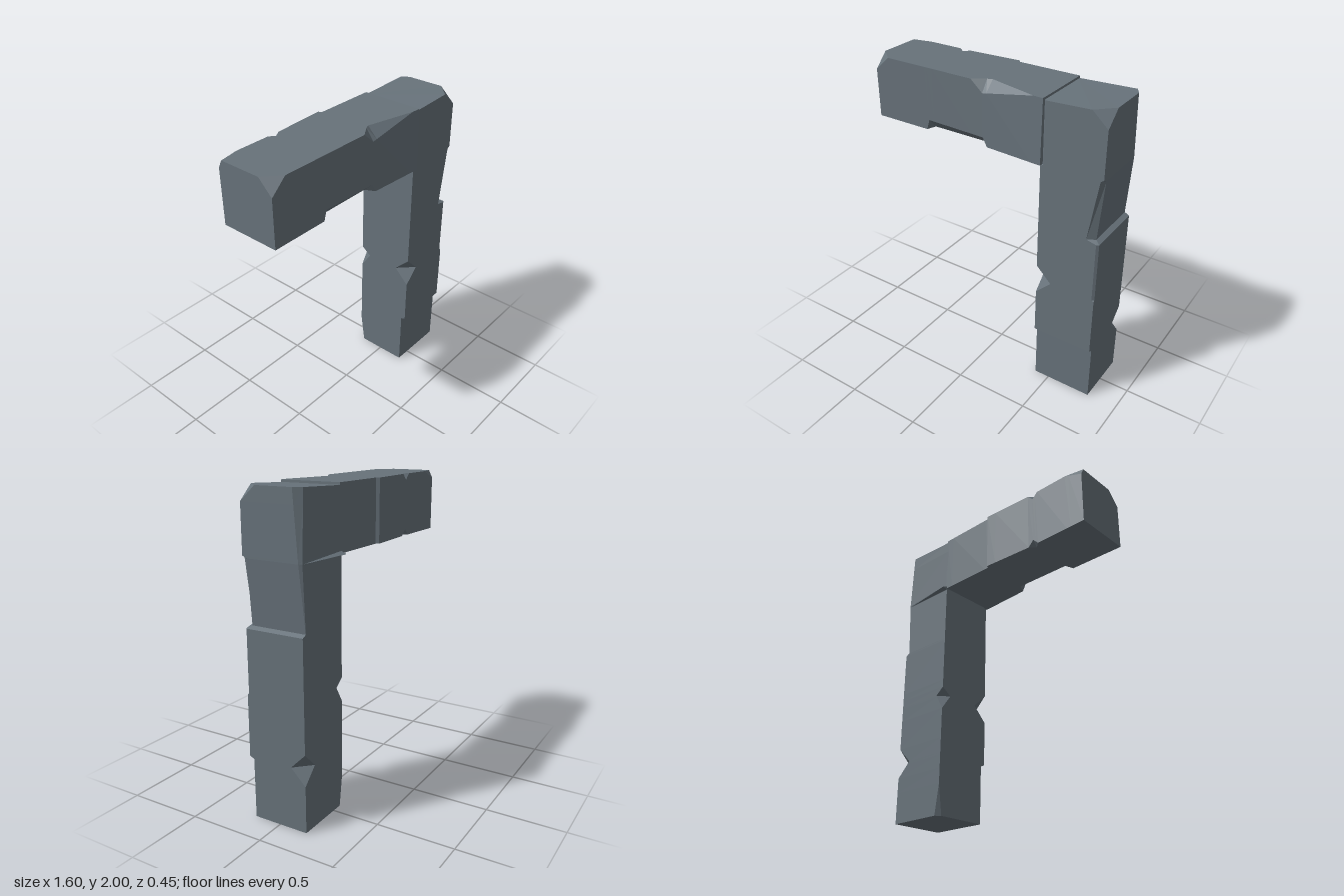
import * as THREE from 'three';

// Linear value along knots [t, value, ...]; zero outside them
function along(knots, t, k) {
  for (let i = 1; i < knots.length; i++) {
    const a = knots[i - 1], b = knots[i];
    if (t >= a[0] && t <= b[0]) return a[k] + (b[k] - a[k]) * (t - a[0]) / (b[0] - a[0]);
  }
  return 0;
}

// Chip: cut depths (cu, cv) on one edge. Swell: offset of one face (u0, u1, v0, v1).
const chip = (edge, ...knots) => ({ edge, knots });
const notch = (edge, from, mid, to, cu, cv) => chip(edge, [from, 0, 0], [mid, cu, cv], [to, 0, 0]);
const swell = (face, ...knots) => ({ face, knots });

// Eight-point section; edges run 0 (u0,v0), 1 (u1,v0), 2 (u1,v1), 3 (u0,v1)
function section(t, bounds, features) {
  const [u0, u1, v0, v1] = bounds.map((value, face) => features
    .filter((f) => f.face === face)
    .reduce((sum, f) => sum + along(f.knots, t, 1), value));
  const c = [0, 1, 2, 3].map((edge) => [1, 2].map((k) => features
    .filter((f) => f.edge === edge)
    .reduce((sum, f) => sum + along(f.knots, t, k), 0)));
  return [
    [u0, v0 + c[0][1]], [u0 + c[0][0], v0],
    [u1 - c[1][0], v0], [u1, v0 + c[1][1]],
    [u1, v1 - c[2][1]], [u1 - c[2][0], v1],
    [u0 + c[3][0], v1], [u0, v1 - c[3][1]],
  ];
}

// Joins sections from start to end into one closed faceted block
function chippedBlock(name, material, start, end, bounds, features, place) {
  const knotTs = features.flatMap((f) => f.knots.map((k) => k[0]));
  const ts = [...new Set([start, end, ...knotTs])]
    .filter((t) => t >= start && t <= end)
    .sort((a, b) => a - b);
  const rings = ts.map((t) => section(t, bounds, features).map(([u, v]) => place(t, u, v)));
  const out = [];
  const tri = (a, b, c) => {
    const n = b.clone().sub(a).cross(c.clone().sub(a));
    if (n.length() > 1e-8) for (const p of [a, b, c]) out.push(p.x, p.y, p.z);
  };
  for (let s = 0; s < rings.length - 1; s++) {
    const a = rings[s], b = rings[s + 1];
    for (let i = 0; i < 8; i++) {
      const j = (i + 1) % 8;
      tri(a[i], a[j], b[j]);
      tri(a[i], b[j], b[i]);
    }
  }
  const first = rings[0], last = rings[rings.length - 1];
  for (let i = 1; i < 7; i++) {
    tri(first[0], first[i + 1], first[i]);
    tri(last[0], last[i], last[i + 1]);
  }
  const geometry = new THREE.BufferGeometry();
  geometry.setAttribute('position', new THREE.Float32BufferAttribute(out, 3));
  geometry.computeVertexNormals();
  const mesh = new THREE.Mesh(geometry, material);
  mesh.name = name;
  return mesh;
}

// Upright post: t = y, u = z, v = x; edges: back inner, front inner, front outer, back outer
function makePost(stone) {
  const features = [
    swell(1, [0.385, 0], [0.4, 0.03], [2, 0.025]),
    swell(3, [1.195, 0], [1.21, -0.03], [1.6, 0]),
    chip(0, [0, 0.03, 0.03], [0.2, 0, 0]),
    notch(0, 0.7, 0.8, 0.85, 0.07, 0.06),
    notch(1, 0.7, 0.8, 0.9, 0.1, 0.1),
    chip(1, [1.59, 0, 0], [1.6, 0.02, 0.02], [2, 0.02, 0.02]),
    chip(2, [0.79, 0, 0], [0.8, 0.01, 0.015], [1.195, 0.01, 0.015],
      [1.21, 0.03, 0.05], [1.6, 0.03, 0.02], [1.615, 0, 0]),
    chip(2, [1.91, 0, 0], [2, 0.1, 0.1]),
    notch(3, 0.3, 0.4, 0.5, 0.1, 0.1),
    chip(3, [1.21, 0, 0], [1.6, 0.02, 0.01], [2, 0.05, 0.03]),
  ];
  return chippedBlock('post', stone, 0, 2, [-0.19, 0.18, 0.4, 0.8], features, (t, u, v) => {
    const p = new THREE.Vector3(v, t, u);
    // The top dips toward the beam; the back bulges on its inner side
    if (t === 2) p.y -= Math.max(0, 0.7 - v) * 0.05;
    if (t === 1.6 && u < -0.15) p.z -= 0.035 * (0.8 - v) / 0.4;
    return p;
  });
}

// Level beam: t = x, u = y, v = z; edges: bottom back, top back, top front, bottom front
function makeBeam(stone) {
  const features = [
    swell(2, [-0.36, 0], [-0.01, -0.02], [0, 0]),
    swell(3, [0, 0], [0.41, 0.016]),
    notch(0, -0.44, -0.4, -0.36, 0.04, 0.035),
    chip(1, [-0.8, 0.05, 0.025], [-0.67, 0, 0]),
    notch(1, -0.44, -0.4, -0.36, 0.04, 0.035),
    chip(2, [-0.8, 0.09, 0.09], [-0.7, 0, 0]),
    chip(2, [-0.08, 0, 0], [0, 0.07, 0.052], [0.03, 0.064, 0.065], [0.35, 0, 0]),
    chip(3, [-0.42, 0, 0], [-0.4, 0.065, 0.06], [0, 0.055, 0.06], [0.03, 0, 0]),
  ];
  return chippedBlock('beam', stone, -0.8, 0.41, [1.6, 2, -0.19, 0.2], features, (t, u, v) => {
    const p = new THREE.Vector3(t, u, v);
    // The front leans out at its foot near the post
    if (t > 0 && v > 0.15) p.z += 0.01 * (t / 0.41) * (2 - u) / 0.4;
    return p;
  });
}

export function createModel() {
  const stone = new THREE.MeshStandardMaterial({ color: 0x67727a });
  stone.name = 'slate grey';
  const group = new THREE.Group();
  group.name = 'stoneCorner';
  group.add(makePost(stone), makeBeam(stone));
  return group;
}
